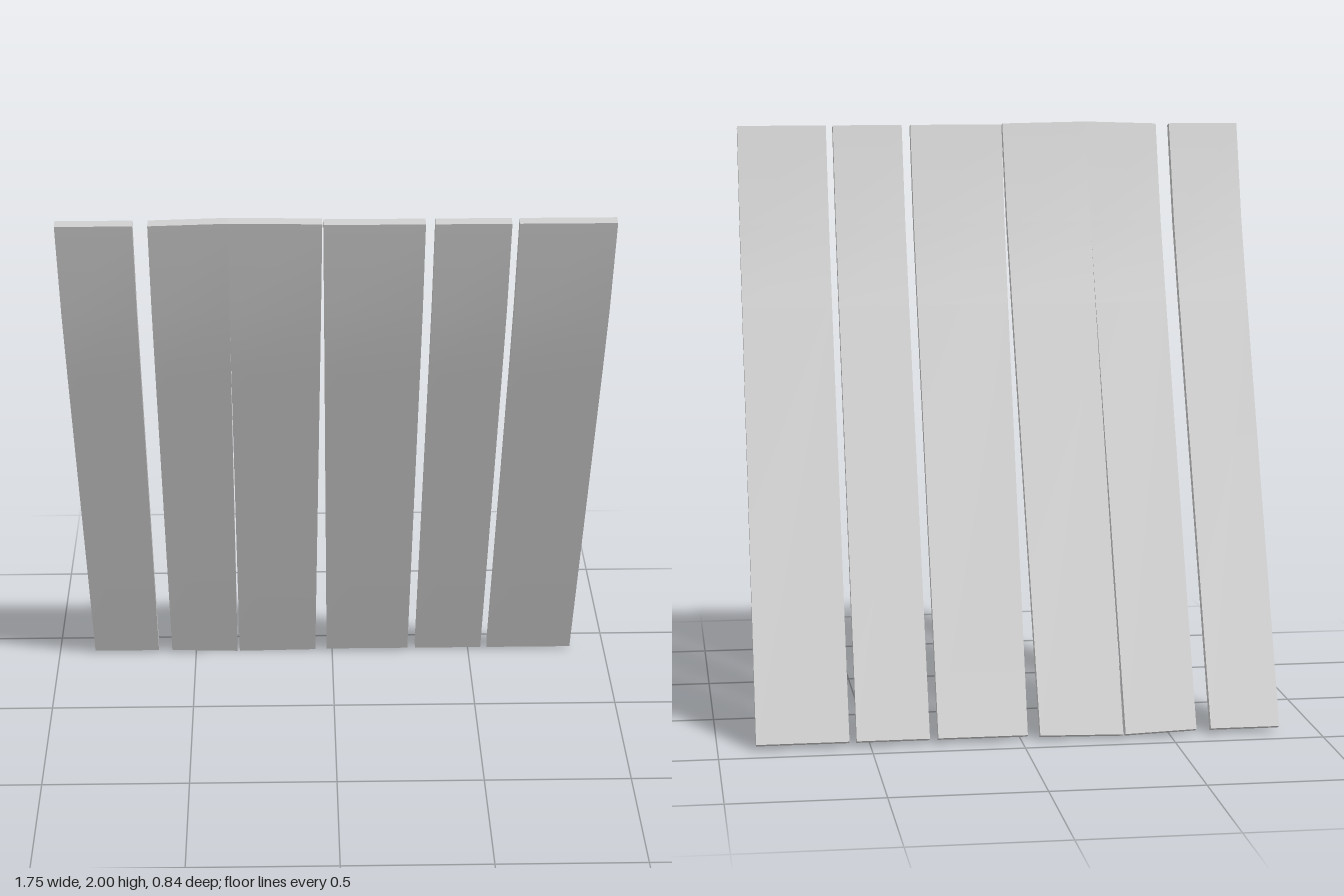
import * as THREE from 'three';
import { toCreasedNormals } from 'three/addons/utils/BufferGeometryUtils.js';

// Shared bend of the boards, foot to top: centre line [z, y] and half thickness [dz, dy] towards the front
const bend = [
  { z: -0.403, y: 0.014, dz: 0.013, dy: -0.006 },
  { z: 0.186, y: 1.382, dz: 0.014, dy: -0.006 },
  { z: 0.297, y: 1.655, dz: 0.015, dy: -0.005 },
  { z: 0.402, y: 1.988, dz: 0.015, dy: -0.004 },
];

// Each board: left-hand and right-hand x as [foot, top], and extra length of each edge
const boards = [
  { a: [-0.87, -0.877], b: [-0.637, -0.635], ext: [0, 0] },
  { a: [-0.588, -0.588], b: [-0.348, -0.338], ext: [0, 0.008] },
  { a: [-0.34, -0.34], b: [-0.062, -0.045], ext: [0.008, 0.003] },
  { a: [-0.02, -0.042], b: [0.277, 0.277], ext: [0, 0] },
  { a: [0.305, 0.307], b: [0.546, 0.546], ext: [0, 0] },
  { a: [0.57, 0.57], b: [0.875, 0.875], ext: [0, 0] },
];

// Bends a segmented box along the shared curve and tapers it to the board's edges
function boardGeometry({ a, b, ext }) {
  const last = bend.length - 1;
  const geometry = new THREE.BoxGeometry(1, 1, 1, 1, last, 1);
  const pos = geometry.attributes.position;
  for (let i = 0; i < pos.count; i++) {
    const row = Math.round((pos.getY(i) + 0.5) * last);
    const s = bend[row];
    const t = s.y / 2;
    const onB = pos.getX(i) > 0;
    const face = Math.sign(pos.getZ(i));
    const edge = onB ? b : a;
    const stretch = ext[onB ? 1 : 0] * (row === 0 ? -1 : row === last ? 1 : 0);
    pos.setXYZ(
      i,
      THREE.MathUtils.lerp(edge[0], edge[1], t),
      s.y + face * s.dy + stretch,
      s.z + face * s.dz + stretch * 0.4
    );
  }
  return toCreasedNormals(geometry, Math.PI / 6);
}

export function createModel() {
  const model = new THREE.Group();
  model.name = 'leaningBoards';
  const material = new THREE.MeshStandardMaterial({ color: 0xcccccc });
  boards.forEach((board, i) => {
    const mesh = new THREE.Mesh(boardGeometry(board), material);
    mesh.name = `board${i + 1}`;
    model.add(mesh);
  });
  return model;
}
